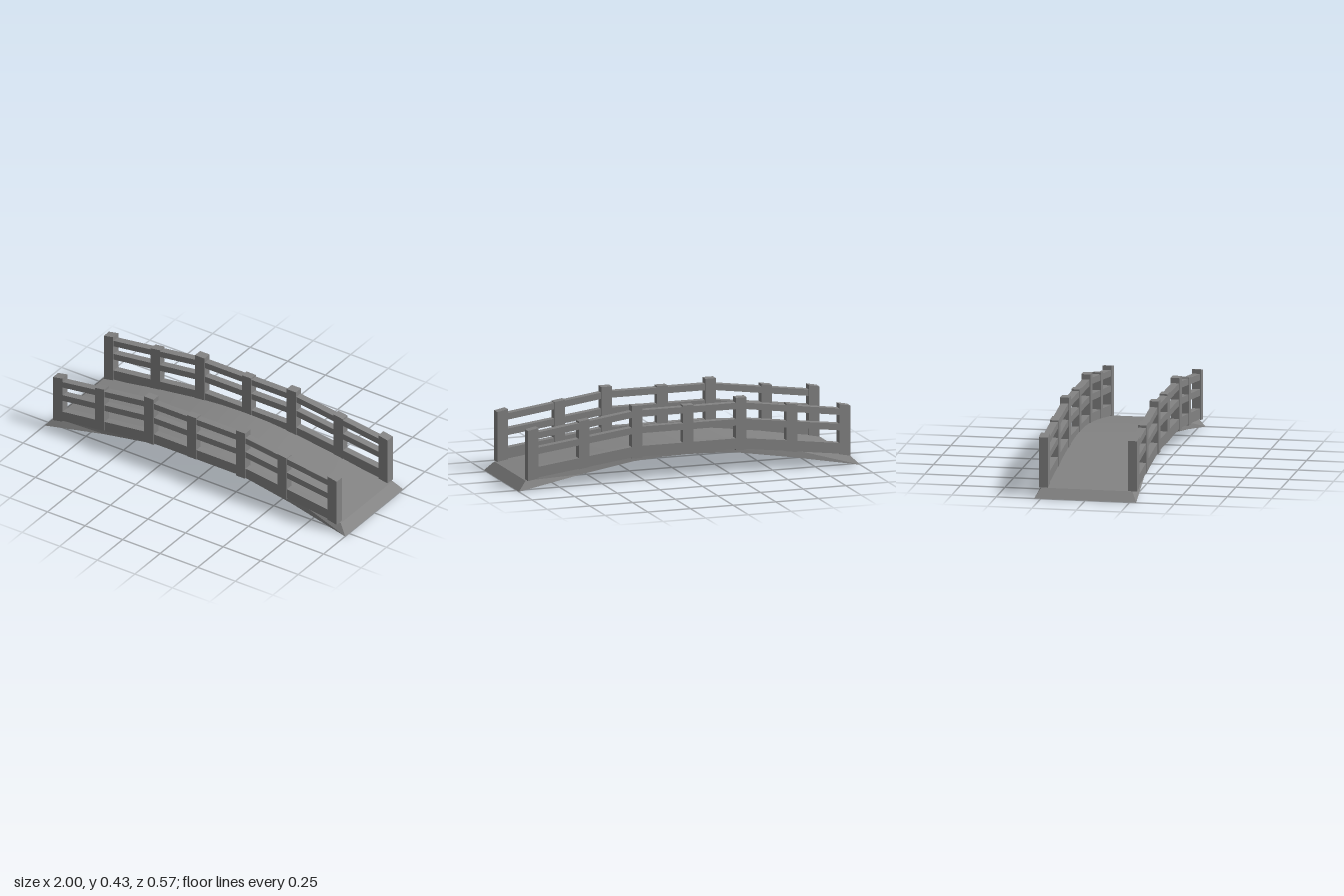
import * as THREE from 'three';
import { toCreasedNormals } from 'three/addons/utils/BufferGeometryUtils.js';

const material = new THREE.MeshStandardMaterial({ color: 0x838383 });

function addMesh(parent, geometry, name) {
  const mesh = new THREE.Mesh(geometry, material);
  mesh.name = name;
  parent.add(mesh);
}

// Solid swept through four-cornered sections listed from -x to +x.
// Section corners: bottom front, bottom back, top back, top front.
// Gentle bends along the sweep stay smooth, the long edges stay sharp.
function loft(sections) {
  const index = [];
  for (let s = 0; s < sections.length - 1; s++) {
    for (let k = 0; k < 4; k++) {
      const a = s * 4 + k, b = s * 4 + (k + 1) % 4;
      index.push(a, b, b + 4, a, b + 4, a + 4);
    }
  }
  const e = (sections.length - 1) * 4;
  index.push(0, 2, 1, 0, 3, 2, e, e + 1, e + 2, e, e + 2, e + 3);
  const geometry = new THREE.BufferGeometry();
  geometry.setAttribute('position', new THREE.Float32BufferAttribute(sections.flat(2), 3));
  geometry.setIndex(index);
  return toCreasedNormals(geometry, 0.3);
}

// Arched deck: [bottom x, bottom y, bottom half width, top x, top y, top half width]
function createDeck() {
  const half = [
    [1, 0, 0.287, 0.95, 0.052, 0.256],
    [0.62, 0.065, 0.258, 0.61, 0.11, 0.25],
    [0.31, 0.113, 0.248, 0.31, 0.152, 0.245],
    [0.15, 0.124, 0.245, 0.15, 0.165, 0.245],
    [0, 0.128, 0.245, 0, 0.17, 0.245],
  ];
  const mirrored = half.slice(0, -1).map(([bx, by, bw, tx, ty, tw]) => [-bx, by, bw, -tx, ty, tw]);
  const rows = [...mirrored, ...half.reverse()];
  return loft(rows.map(([bx, by, bw, tx, ty, tw]) => [
    [bx, by, bw], [bx, by, -bw], [tx, ty, -tw], [tx, ty, tw],
  ]));
}

// Rail bent at the inner posts, level across the crown
function createRail(endY, midY, height, z, depth) {
  const path = [[-0.91, endY], [-0.31, midY], [0.31, midY], [0.91, endY]];
  return loft(path.map(([x, y]) => [
    [x, y, z + depth / 2], [x, y, z - depth / 2],
    [x, y + height, z - depth / 2], [x, y + height, z + depth / 2],
  ]));
}

// Upright post whose ends slope with the arch
function createPost(x, z, bottom, top, depth, slope) {
  const w = 0.031, d = depth / 2;
  return loft([-w, w].map((dx) => [
    [x + dx, bottom + dx * slope, z + d], [x + dx, bottom + dx * slope, z - d],
    [x + dx, top + dx * slope, z - d], [x + dx, top + dx * slope, z + d],
  ]));
}

export function createModel() {
  const bridge = new THREE.Group();
  bridge.name = 'footbridge';
  addMesh(bridge, createDeck(), 'deck');

  const sides = [
    { name: 'frontRailing', z: 0.257, xs: [-0.917, -0.64, -0.31, -0.028, 0.3, 0.575, 0.91] },
    { name: 'backRailing', z: -0.245, xs: [-0.917, -0.607, -0.31, 0, 0.3, 0.61, 0.91] },
  ];
  // Post [bottom, top, depth, slope] from the left end to the right end
  const posts = [
    [0.058, 0.342, 0.051, 0.2], [0.1, 0.37, 0.047, 0.15], [0.133, 0.43, 0.051, 0],
    [0.139, 0.41, 0.046, 0],
    [0.133, 0.43, 0.051, 0], [0.1, 0.37, 0.047, -0.15], [0.058, 0.342, 0.051, -0.2],
  ];
  for (const { name, z, xs } of sides) {
    const railing = new THREE.Group();
    railing.name = name;
    xs.forEach((x, i) => {
      const [bottom, top, depth, slope] = posts[i];
      addMesh(railing, createPost(x, z, bottom, top, depth, slope), 'post');
    });
    addMesh(railing, createRail(0.283, 0.365, 0.036, z, 0.042), 'topRail');
    addMesh(railing, createRail(0.196, 0.272, 0.037, z, 0.042), 'middleRail');
    addMesh(railing, createRail(0.064, 0.14, 0.06, z, 0.042), 'bottomRail');
    bridge.add(railing);
  }
  return bridge;
}
